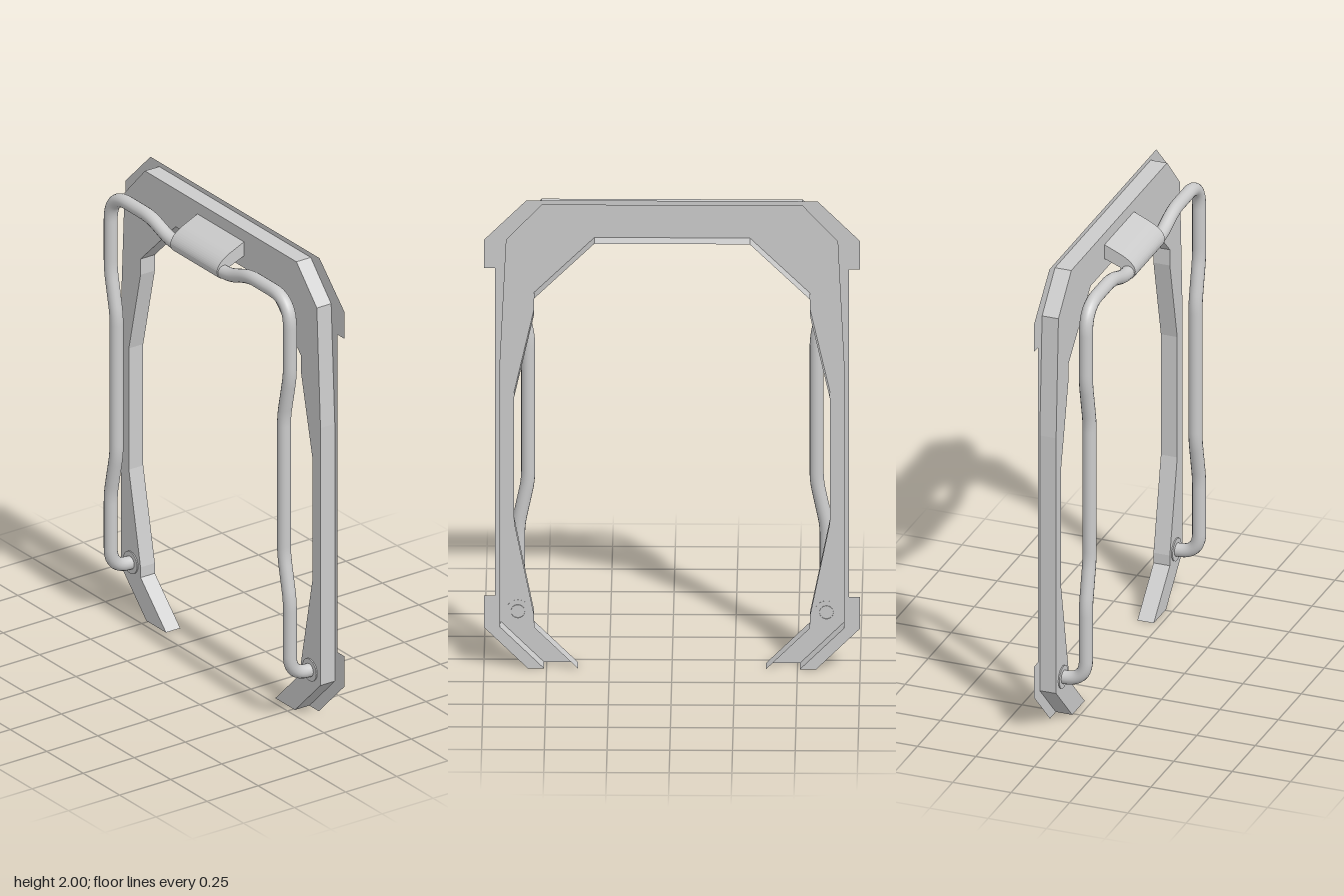
import * as THREE from 'three';

const FRONT = -0.03, BACK = -0.1; // depth of the pressed frame channel

const material = new THREE.MeshStandardMaterial({ color: 0xcccccc, side: THREE.DoubleSide });
const flat = new THREE.MeshStandardMaterial({ color: 0xcccccc, side: THREE.DoubleSide, flatShading: true });

// Right half outlines, listed from the top centre down to the foot
const rimEdge = [[0.58, 2], [0.75, 1.83], [0.75, 1.71], [0.705, 1.71], [0.705, 0.31], [0.75, 0.31], [0.75, 0.175], [0.575, 0]];
const outerEdge = [[0.52, 1.98], [0.66, 1.83], [0.685, 1.31], [0.685, 0.175], [0.51, 0]];
const innerEdge = [[0.31, 1.815], [0.55, 1.58], [0.55, 1.51], [0.63, 1.155], [0.63, 0.62], [0.55, 0.22], [0.55, 0.175], [0.375, 0]];

// Complete a half outline into a path from the left foot to the right foot
const mirror = (half) => [...half.map(([x, y]) => [-x, y]).reverse(), ...half];

function add(group, name, geometry, mat = material) {
  const mesh = new THREE.Mesh(geometry, mat);
  mesh.name = name;
  group.add(mesh);
  return mesh;
}

// Flat sheet between two arch outlines
function sheet(outer, inner, z) {
  const loop = [...mirror(outer), ...mirror(inner).reverse()];
  return new THREE.ShapeGeometry(new THREE.Shape(loop.map(([x, y]) => new THREE.Vector2(x, y)))).translate(0, 0, z);
}

// Wall running along an outline from front to back
function wall(half) {
  const path = mirror(half), positions = [];
  for (let i = 0; i + 1 < path.length; i++) {
    const [a, b] = [path[i], path[i + 1]];
    positions.push(...a, FRONT, ...a, BACK, ...b, BACK, ...a, FRONT, ...b, BACK, ...b, FRONT);
  }
  const geometry = new THREE.BufferGeometry();
  geometry.setAttribute('position', new THREE.Float32BufferAttribute(positions, 3));
  geometry.computeVertexNormals();
  return geometry;
}

// Polyline whose corners are rounded by the radius in the fourth entry
function roundedPath(points) {
  const path = new THREE.CurvePath();
  const v = points.map(([x, y, z]) => new THREE.Vector3(x, y, z));
  let from = v[0];
  for (let i = 1; i < v.length - 1; i++) {
    const r = points[i][3];
    const start = v[i].clone().add(v[i - 1].clone().sub(v[i]).setLength(r));
    const end = v[i].clone().add(v[i + 1].clone().sub(v[i]).setLength(r));
    path.add(new THREE.LineCurve3(from, start));
    path.add(new THREE.QuadraticBezierCurve3(start, v[i], end));
    from = end;
  }
  path.add(new THREE.LineCurve3(from, v[v.length - 1]));
  return path;
}

export function createModel() {
  const model = new THREE.Group();
  model.name = 'archFrame';

  // Open-backed channel with a thin rim behind it
  const frame = new THREE.Group();
  frame.name = 'frame';
  add(frame, 'frontPlate', sheet(outerEdge, innerEdge, FRONT), flat);
  add(frame, 'rim', sheet(rimEdge, outerEdge, BACK), flat);
  add(frame, 'outerWall', wall(outerEdge), flat);
  add(frame, 'innerWall', wall(innerEdge), flat);
  model.add(frame);

  // Bent tube standing in front of the frame
  const z = 0.07;
  const half = [
    [0.2, 1.825, z, 0.05], [0.34, 1.875, z, 0.05], [0.615, 1.875, z, 0.12], [0.615, 1.54, z, 0.04],
    [0.575, 1.35, z, 0.04], [0.575, 0.74, z, 0.04], [0.615, 0.55, z, 0.04], [0.615, 0.218, z, 0.09], [0.615, 0.218, -0.035, 0],
  ];
  const bar = roundedPath([...half.map(([x, ...rest]) => [-x, ...rest]).reverse(), ...half]);
  add(model, 'tube', new THREE.TubeGeometry(bar, 320, 0.028, 16, false));

  // Thin discs where the tube meets the frame
  for (const side of [-1, 1]) {
    const disc = add(model, side > 0 ? 'leftMount' : 'rightMount', new THREE.CylinderGeometry(0.048, 0.048, 0.006, 20), flat);
    disc.rotation.x = Math.PI / 2;
    disc.position.set(side * 0.615, 0.218, FRONT + 0.002);
  }

  // Bracket that wraps the tube at the top centre; profile drawn as (z, y)
  const profile = new THREE.Shape();
  profile.moveTo(-0.032, 1.93);
  profile.lineTo(0.04, 1.898);
  profile.quadraticCurveTo(0.098, 1.87, 0.102, 1.835);
  profile.quadraticCurveTo(0.102, 1.797, 0.072, 1.797);
  profile.quadraticCurveTo(0.045, 1.797, 0.038, 1.84);
  profile.lineTo(-0.032, 1.868);
  const bracket = new THREE.ExtrudeGeometry(profile, { depth: 0.32, bevelEnabled: false, curveSegments: 10 });
  bracket.rotateY(-Math.PI / 2).translate(0.16, 0, 0);
  add(model, 'bracket', bracket);

  return model;
}
